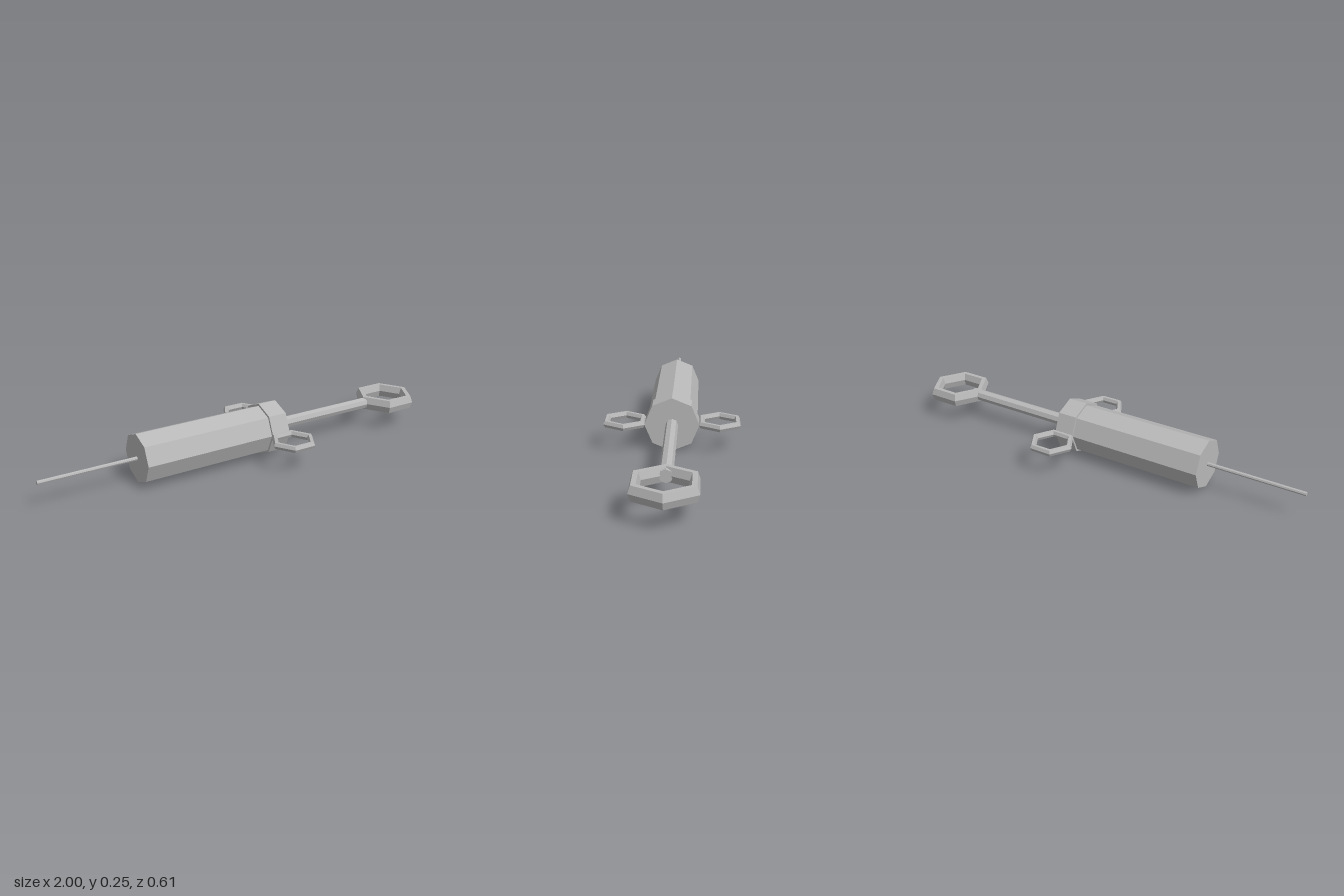
import * as THREE from 'three';

const grey = new THREE.MeshStandardMaterial({ color: 0xb8b8b8, flatShading: true });
grey.name = 'grey';

const AXIS_Y = 0.1235;

// Eight-sided rod along x, with an edge facing up
function rod(name, radius, x0, x1) {
  const geometry = new THREE.CylinderGeometry(radius, radius, x1 - x0, 8);
  geometry.rotateZ(-Math.PI / 2);
  const mesh = new THREE.Mesh(geometry, grey);
  mesh.name = name;
  mesh.position.set((x0 + x1) / 2, AXIS_Y, 0);
  return mesh;
}

// Flat-lying hexagonal loop with a six-sided section stretched in height
function loop(name, radius, tube, halfHeight, x, z) {
  const geometry = new THREE.TorusGeometry(radius, tube, 6, 6);
  geometry.rotateX(Math.PI / 2);
  geometry.scale(1, halfHeight / (tube * Math.sin(Math.PI / 3)), 1);
  const mesh = new THREE.Mesh(geometry, grey);
  mesh.name = name;
  mesh.position.set(x, AXIS_Y + 0.001, z);
  return mesh;
}

export function createModel() {
  const model = new THREE.Group();
  model.name = 'syringe';

  // Needle, barrel, collar and plunger share one axis
  model.add(
    rod('needle', 0.009, -1, -0.54),
    rod('barrel', 0.1135, -0.555, 0.072),
    rod('collar', 0.1235, 0.072, 0.165),
    rod('plungerRod', 0.028, 0.16, 0.755),
  );

  // Thumb ring on the plunger and a finger loop on each side of the collar
  model.add(loop('thumbRing', 0.128, 0.023, 0.0315, 0.849, 0));
  for (const side of [1, -1]) {
    model.add(loop(side > 0 ? 'frontFingerLoop' : 'backFingerLoop', 0.092, 0.015, 0.0145, 0.12, side * 0.2135));
  }
  return model;
}
